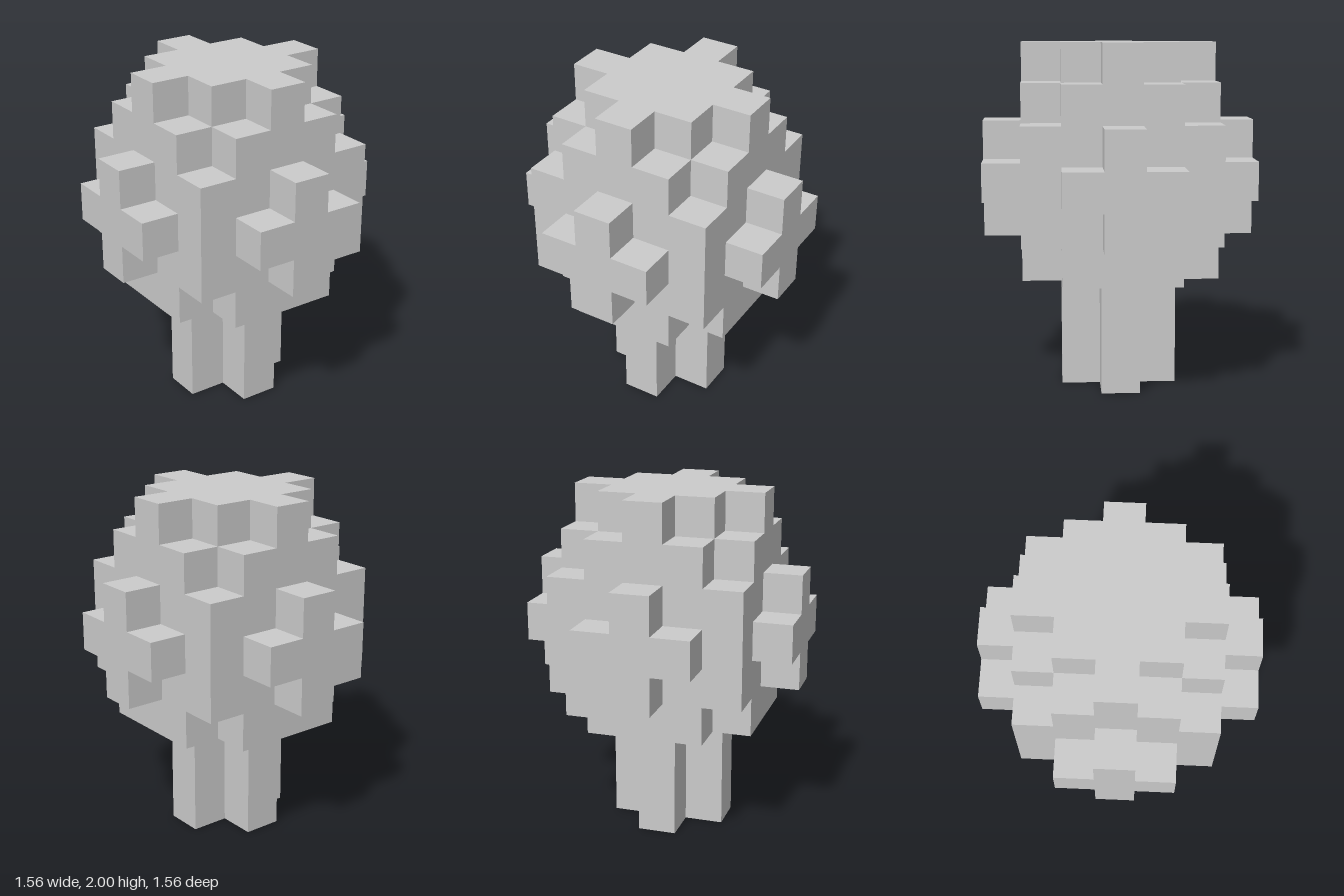
import * as THREE from 'three';

const U = 2 / 9; // edge of one block

// Outline with four-fold symmetry: one quarter of the corners (in blocks), turned four times
function outline(quarter) {
  const points = [];
  for (let q = 0; q < 4; q++) {
    for (const [x, y] of quarter) {
      const [px, py] = [[x, y], [-y, x], [-x, -y], [y, -x]][q];
      points.push(new THREE.Vector2(px * U, py * U));
    }
  }
  return new THREE.Shape(points);
}

const CROSS = [[1.5, -0.5], [1.5, 0.5], [0.5, 0.5]];
const NOTCHED = [[2.5, -1.5], [2.5, 1.5], [1.5, 1.5]];
const STEPPED = [[2.5, -0.5], [2.5, 0.5], [1.5, 0.5], [1.5, 1.5], [0.5, 1.5]];
const SQUARE = [[2.5, 2.5]];

export function createModel() {
  const group = new THREE.Group();
  group.name = 'blockTree';
  const material = new THREE.MeshStandardMaterial({ color: 0xcccccc, flatShading: true });

  const extrude = (quarter, blocks) =>
    new THREE.ExtrudeGeometry(outline(quarter), { depth: blocks * U, bevelEnabled: false });

  // Horizontal slab starting at a given block layer
  function addSlab(name, quarter, layer, blocks) {
    const geometry = extrude(quarter, blocks).rotateX(-Math.PI / 2);
    const mesh = new THREE.Mesh(geometry, material);
    mesh.name = name;
    mesh.position.y = layer * U;
    group.add(mesh);
  }

  // Trunk and the stacked layers of the crown
  addSlab('trunk', CROSS, 0, 3);
  addSlab('crownBase', NOTCHED, 3, 1);
  addSlab('crownMiddle', SQUARE, 4, 3);
  addSlab('crownShoulder', NOTCHED, 7, 1);
  addSlab('crownTop', STEPPED, 8, 1);

  // Cross-shaped leaf clumps on the four sides of the crown
  const clump = extrude(CROSS, 1).translate(0, 5.5 * U, 2.5 * U);
  ['front', 'left', 'back', 'right'].forEach((side, i) => {
    const mesh = new THREE.Mesh(clump, material);
    mesh.name = side + 'LeafClump';
    mesh.rotation.y = (i * Math.PI) / 2;
    group.add(mesh);
  });

  return group;
}
